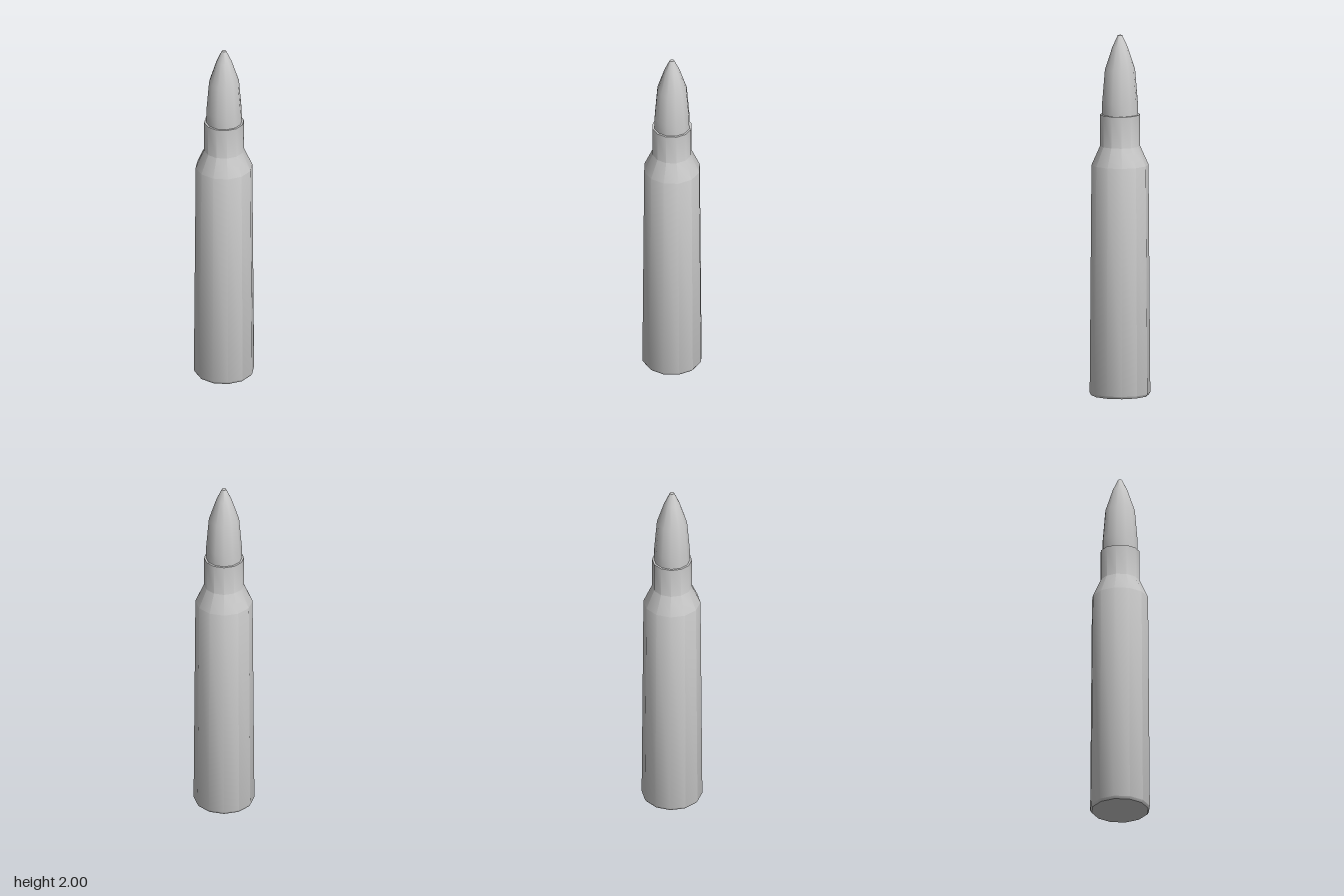
import * as THREE from 'three';
import { toCreasedNormals } from 'three/addons/utils/BufferGeometryUtils.js';

const SIDES = 12;

// Turned part from [radius, height] pairs listed bottom to top
function turned(name, profile, material) {
  const points = profile.map(([r, y]) => new THREE.Vector2(r, y));
  const geometry = toCreasedNormals(new THREE.LatheGeometry(points, SIDES), THREE.MathUtils.degToRad(35));
  const mesh = new THREE.Mesh(geometry, material);
  mesh.name = name;
  return mesh;
}

export function createModel() {
  const group = new THREE.Group();
  group.name = 'cartridge';
  const material = new THREE.MeshStandardMaterial({ color: 0xcccccc });

  // Case: closed base, small chamfer, tapered body, shoulder, neck and flat rim
  group.add(turned('case', [
    [0, 0], [0.158, 0], [0.167, 0.014],
    [0.157, 1.28], [0.11, 1.385], [0.11, 1.56], [0.099, 1.56],
  ], material));

  // Bullet: pointed curve with a small flat tip
  group.add(turned('bullet', [
    [0.099, 1.56], [0.098, 1.63], [0.083, 1.81],
    [0.042, 1.935], [0.012, 2], [0, 2],
  ], material));

  return group;
}
